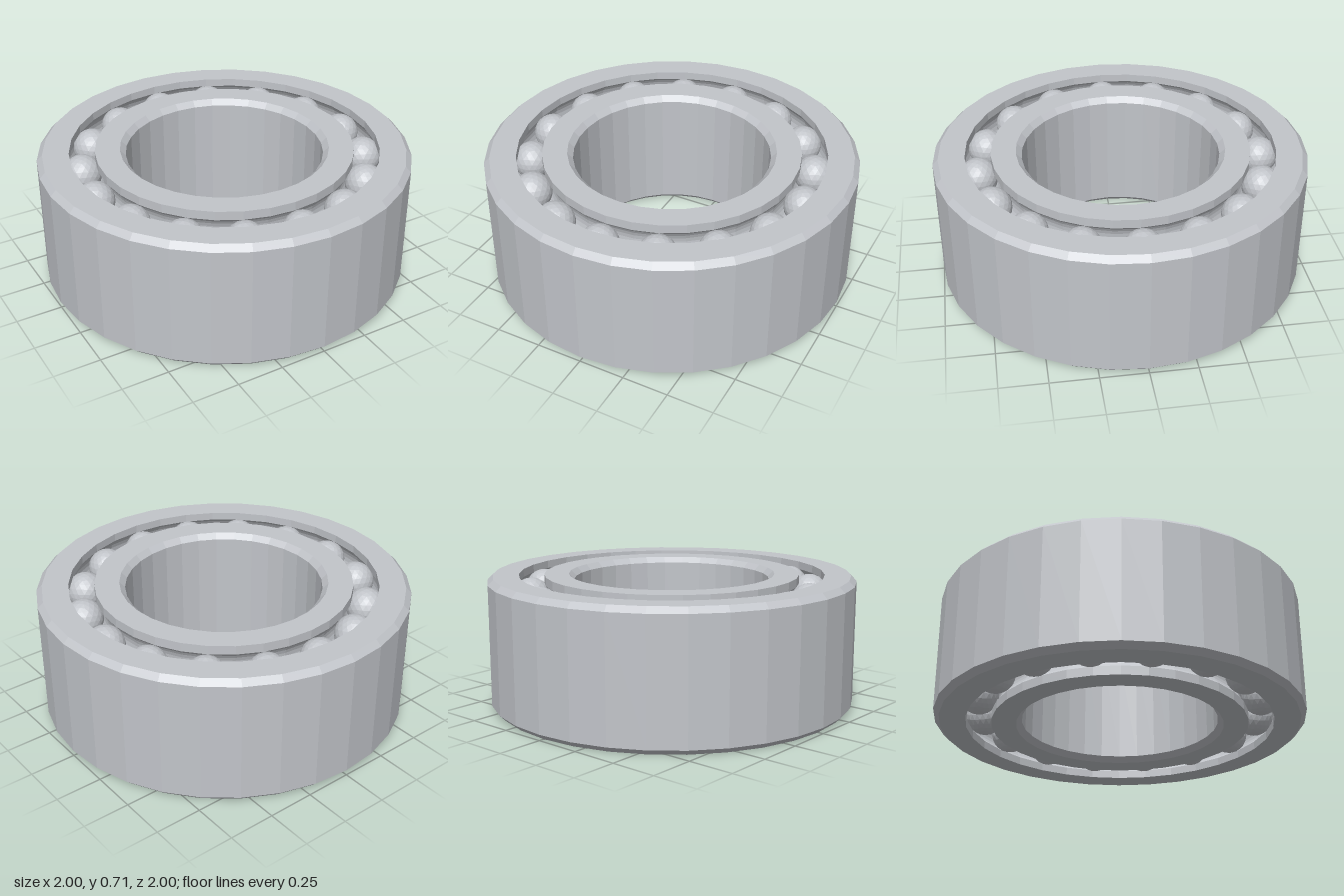
import * as THREE from 'three';

const HEIGHT = 0.714, CHAMFER = 0.03, SEGMENTS = 32;
const BALLS = 16, BALL_RADIUS = 0.104, PITCH_RADIUS = 0.764;
const ROWS = [0.125, HEIGHT - 0.125];
const GROOVE_RADIUS = 0.105;

// Points of a raceway groove cut into a wall at radius wallR, from low to high
function groove(wallR, y) {
  const offset = wallR - PITCH_RADIUS;
  const half = Math.acos(Math.abs(offset) / GROOVE_RADIUS);
  const points = [];
  for (let i = 0; i <= 8; i++) {
    const a = half * (i / 4 - 1);
    points.push([PITCH_RADIUS + Math.sign(offset) * GROOVE_RADIUS * Math.cos(a), y + GROOVE_RADIUS * Math.sin(a)]);
  }
  return points;
}

// Revolves a closed, counterclockwise (radius, height) profile
function ring(name, profile, material) {
  const points = [...profile, profile[0]].map(([r, y]) => new THREE.Vector2(r, y));
  const geometry = new THREE.LatheGeometry(points, SEGMENTS).toNonIndexed();
  geometry.computeVertexNormals();
  const mesh = new THREE.Mesh(geometry, material);
  mesh.name = name;
  return mesh;
}

export function createModel() {
  const steel = new THREE.MeshStandardMaterial({ color: 0xc2c5ca });
  steel.name = 'steel';
  const model = new THREE.Group();
  model.name = 'ballBearing';

  // Outer race: chamfered outside, grooved inside
  const outerWall = 0.83;
  model.add(ring('outerRace', [
    [outerWall, 0], [1 - CHAMFER, 0], [1, CHAMFER],
    [1, HEIGHT - CHAMFER], [1 - CHAMFER, HEIGHT], [outerWall, HEIGHT],
    ...ROWS.flatMap((y) => groove(outerWall, y)).reverse(),
  ], steel));

  // Inner race: grooved outside, chamfered bore
  const innerWall = 0.693, bore = 0.53;
  model.add(ring('innerRace', [
    [bore + CHAMFER, 0], [innerWall, 0],
    ...ROWS.flatMap((y) => groove(innerWall, y)),
    [innerWall, HEIGHT], [bore + CHAMFER, HEIGHT],
    [bore, HEIGHT - CHAMFER], [bore, CHAMFER],
  ], steel));

  // Two rows of balls
  const ballGeometry = new THREE.IcosahedronGeometry(BALL_RADIUS, 3);
  ballGeometry.computeVertexNormals();
  ROWS.forEach((y, row) => {
    const balls = new THREE.Group();
    balls.name = row ? 'upperBalls' : 'lowerBalls';
    for (let i = 0; i < BALLS; i++) {
      const a = (i / BALLS) * Math.PI * 2;
      const ball = new THREE.Mesh(ballGeometry, steel);
      ball.name = 'ball';
      ball.position.set(PITCH_RADIUS * Math.sin(a), y, PITCH_RADIUS * Math.cos(a));
      ball.rotation.y = a;
      balls.add(ball);
    }
    model.add(balls);
  });

  return model;
}
